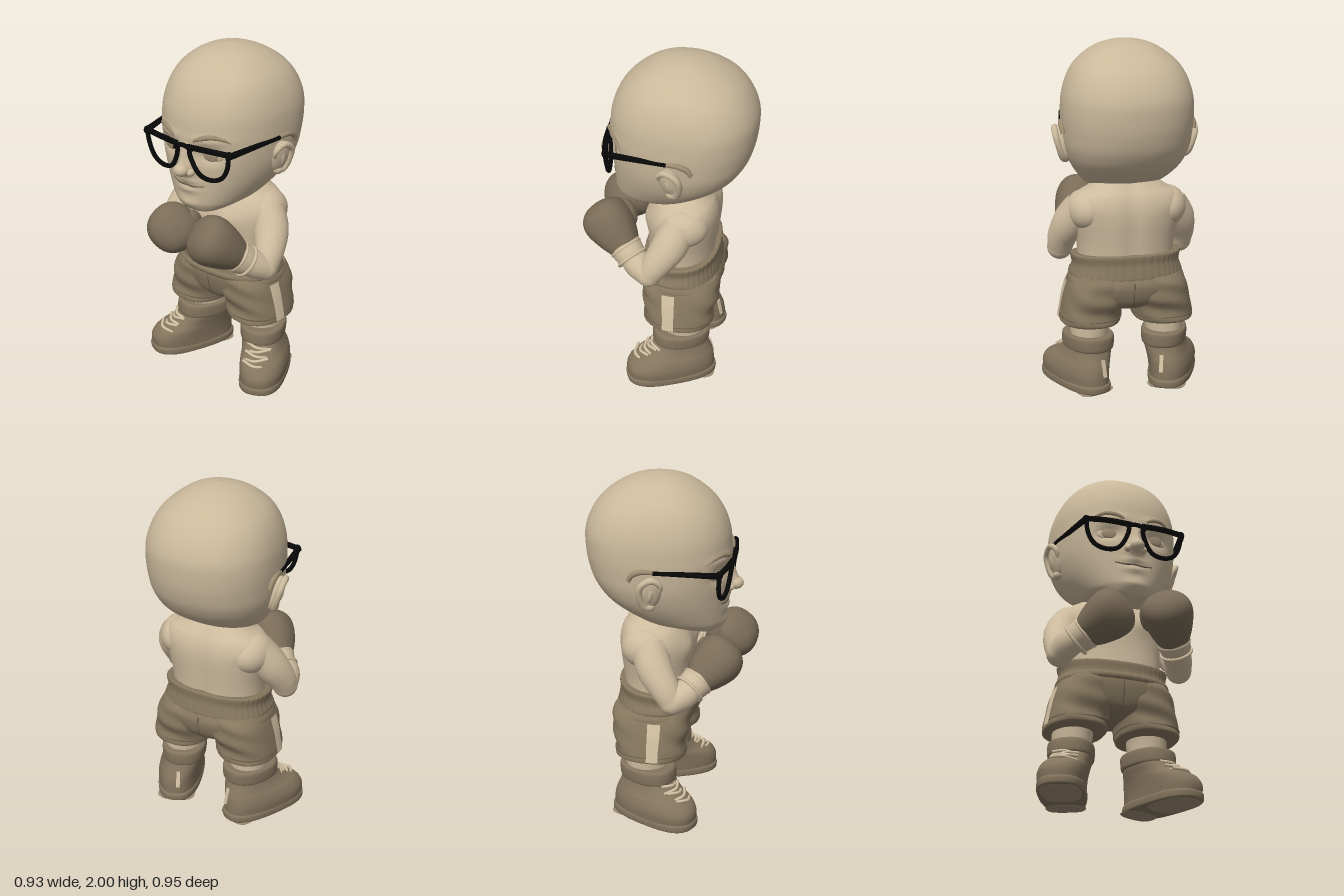
import * as THREE from 'three';

const mat = (name, color) => Object.assign(new THREE.MeshStandardMaterial({ color }), { name });

// Smooth value between rows of numbers (Catmull-Rom)
function sampleRows(rows, t) {
  const last = rows.length - 1, u = t * last, i = Math.min(Math.floor(u), last - 1), f = u - i;
  const at = k => rows[Math.max(0, Math.min(last, k))];
  const [a, b, c, d] = [at(i - 1), at(i), at(i + 1), at(i + 2)];
  return b.map((p, k) => p + 0.5 * f * (c[k] - a[k] + f * (2 * a[k] - 5 * p + 4 * c[k] - d[k] + f * (3 * (p - c[k]) + d[k] - a[k]))));
}

// Skin through horizontal rings; each row is [y, centreX, centreZ, halfWidth, frontZ, backZ]
function loft(rows, { segs = 40, steps = 30, n = 2, warp, arc } = {}) {
  const pos = [], idx = [], cols = arc ? segs + 1 : segs;
  for (let i = 0; i <= steps; i++) {
    const [y, cx, cz, rx, f, b] = sampleRows(rows, i / steps);
    for (let j = 0; j < cols; j++) {
      const a = arc ? arc[0] + (arc[1] - arc[0]) * j / segs : (j / segs) * Math.PI * 2;
      const s = Math.sin(a), c = Math.cos(a), e = 2 / n;
      const p = new THREE.Vector3(cx + Math.max(rx, 0) * Math.sign(s) * Math.abs(s) ** e, y,
        cz + (c > 0 ? f - cz : cz - b) * Math.sign(c) * Math.abs(c) ** e);
      if (warp) warp(p, a);
      pos.push(p.x, p.y, p.z);
    }
  }
  for (let i = 0; i < steps; i++) for (let j = 0; j < segs; j++) {
    const k = (j + 1) % cols, a = i * cols + j, b = i * cols + k;
    idx.push(a, b, b + cols, a, b + cols, a + cols);
  }
  if (!arc) [0, steps].forEach(i => { // end caps
    const [y, cx, cz] = sampleRows(rows, i / steps), base = pos.length / 3;
    for (let j = 0; j < segs; j++) pos.push(...pos.slice((i * cols + j) * 3, (i * cols + j) * 3 + 3));
    pos.push(cx, y, cz);
    for (let j = 0; j < segs; j++) {
      const a = base + j, b = base + (j + 1) % segs;
      idx.push(...(i ? [a, b, base + segs] : [b, a, base + segs]));
    }
  });
  const g = new THREE.BufferGeometry();
  g.setAttribute('position', new THREE.Float32BufferAttribute(pos, 3));
  g.setIndex(idx);
  g.computeVertexNormals();
  return g;
}

// Tube along points whose radius follows a list
function limb(points, radii, closed = false, segs = 32, sides = 20) {
  const curve = new THREE.CatmullRomCurve3(points.map(p => new THREE.Vector3(...p)), closed);
  const g = new THREE.TubeGeometry(curve, segs, 1, sides, closed), pos = g.attributes.position, v = new THREE.Vector3();
  const rows = radii.length > 1 ? radii.map(r => [r]) : [[radii[0]], [radii[0]]];
  for (let k = 0; k < pos.count; k++) {
    const t = Math.floor(k / (sides + 1)) / segs, c = curve.getPointAt(t);
    v.fromBufferAttribute(pos, k).sub(c).multiplyScalar(sampleRows(rows, t)[0]).add(c);
    pos.setXYZ(k, v.x, v.y, v.z);
  }
  return g;
}

export function createModel() {
  const root = new THREE.Group();
  const headSkin = mat('head skin', 0xcab89b), bodySkin = mat('body skin', 0xcebb9e), shorts = mat('shorts cloth', 0x87785f);
  const boots = mat('boot leather', 0x83745d), gloves = mat('glove leather', 0x7a6c57), black = mat('glasses black', 0x070707);
  const pale = mat('pale trim', 0xd3c1a3), brown = mat('brow brown', 0x9c8a70), dark = mat('dark seam', 0x6a5c49);
  const add = (name, g, m, parent = root) => {
    const mesh = new THREE.Mesh(g, m);
    mesh.name = name;
    parent.add(mesh);
    return mesh;
  };
  const ball = (name, m, p, r, rot = [0, 0, 0], parent = root) => {
    const b = add(name, new THREE.SphereGeometry(1, 32, 24), m, parent);
    b.position.set(...p); b.scale.set(...r); b.rotation.set(...rot);
    return b;
  };

  // Head, with the face pushed in and out by soft bumps [x, y, width, height, depth]
  const bumps = [[0, 1.39, 0.042, 0.045, 0.065], [0, 1.46, 0.03, 0.06, 0.03], [0.14, 1.48, 0.07, 0.04, -0.03],
    [-0.14, 1.48, 0.07, 0.04, -0.03], [0.14, 1.57, 0.09, 0.025, 0.012], [-0.14, 1.57, 0.09, 0.025, 0.012],
    [0, 1.315, 0.07, 0.016, 0.012], [0, 1.26, 0.06, 0.018, 0.014], [0, 1.17, 0.07, 0.03, 0.012]];
  const headGeo = loft([
    [1.11, 0, 0.22, 0.03, 0.26, 0.19], [1.125, 0, 0.19, 0.115, 0.285, 0.1], [1.16, 0, 0.1, 0.185, 0.305, -0.04],
    [1.2, 0, 0.02, 0.235, 0.315, -0.18], [1.3, 0, -0.06, 0.305, 0.32, -0.34], [1.4, 0, -0.09, 0.345, 0.325, -0.42],
    [1.5, 0, -0.1, 0.36, 0.335, -0.457], [1.6, 0, -0.11, 0.365, 0.337, -0.472], [1.7, 0, -0.11, 0.358, 0.325, -0.47],
    [1.8, 0, -0.1, 0.327, 0.285, -0.43], [1.88, 0, -0.08, 0.275, 0.22, -0.365], [1.95, 0, -0.06, 0.185, 0.125, -0.26],
    [1.985, 0, -0.06, 0.095, 0.035, -0.16], [2, 0, -0.06, 0.001, -0.059, -0.061]], {
    segs: 150, steps: 110, n: 2.2,
    warp: p => {
      if (p.z > 0.1) for (const [x, y, w, h, d] of bumps) p.z += d * Math.exp(-(((p.x - x) / w) ** 2) - ((p.y - y) / h) ** 2);
    } });
  add('head', headGeo, headSkin);
  const hp = headGeo.attributes.position;
  const onFace = (x, y, lift = 0) => {
    let best = 9, z = 0;
    for (let k = 0; k < hp.count; k++) {
      if (hp.getZ(k) < 0.1) continue;
      const d = (hp.getX(k) - x) ** 2 + (hp.getY(k) - y) ** 2;
      if (d < best) { best = d; z = hp.getZ(k); }
    }
    return [x, y, z + lift];
  };
  ball('nose tip', headSkin, [0, 1.388, 0.365], [0.042, 0.036, 0.044]);
  add('mouth line', limb([[-0.11, 1.298], [-0.05, 1.286], [0, 1.289], [0.05, 1.286], [0.11, 1.298]].map(p => onFace(...p)), [0.003, 0.006, 0.003], false, 24, 8), dark);

  // Torso with a spine groove and chest
  add('torso', loft([[0.68, 0, -0.06, 0.27, 0.14, -0.25], [0.85, 0, -0.06, 0.28, 0.13, -0.265], [1, 0, -0.07, 0.31, 0.13, -0.28],
    [1.08, 0, -0.09, 0.32, 0.115, -0.277], [1.14, 0, -0.1, 0.285, 0.09, -0.26], [1.18, 0, -0.1, 0.22, 0.06, -0.235], [1.26, 0, -0.08, 0.12, 0.03, -0.18]], {
    segs: 64, steps: 40, n: 2.25,
    warp: p => {
      if (p.z < -0.1) p.z += 0.014 * Math.exp(-((p.x / 0.04) ** 2));
      else if (p.z > 0) p.z += 0.02 * Math.exp(-(((Math.abs(p.x) - 0.12) / 0.08) ** 2) - ((p.y - 1.03) / 0.07) ** 2);
    } }), bodySkin);

  // Shorts: hips, ribbed waistband and centre seam
  add('shorts hips', loft([[0.475, 0, -0.07, 0.05, 0.04, -0.19], [0.5, 0, -0.07, 0.14, 0.1, -0.25], [0.55, 0, -0.07, 0.28, 0.13, -0.29],
    [0.63, 0, -0.07, 0.335, 0.15, -0.308], [0.69, 0, -0.07, 0.31, 0.15, -0.285]], { n: 2.6, segs: 56 }), shorts);
  add('waistband', loft([[0.66, 0, -0.06, 0.315, 0.155, -0.285], [0.68, 0, -0.06, 0.325, 0.165, -0.295], [0.73, 0, -0.06, 0.305, 0.152, -0.28],
    [0.78, 0, -0.06, 0.315, 0.155, -0.285], [0.79, 0, -0.06, 0.305, 0.145, -0.275]], {
    segs: 180, steps: 12, n: 2.4,
    warp: (p, a) => {
      const k = 1 + 0.006 * Math.sin(45 * a);
      p.x *= k; p.z *= k;
      if (p.y > 0.7) p.y -= (p.z + 0.06) * 0.1; // higher at the back
    } }), shorts);
  for (const d of [1, -1]) {
    const z = d > 0 ? 0.148 : -0.306;
    add('shorts centre seam', limb([[0, 0.5, d > 0 ? 0.1 : -0.25], [0, 0.55, d > 0 ? 0.129 : -0.289], [0, 0.63, z], [0, 0.66, z]], [0.004], false, 16, 8), dark);
  }

  // Glasses bridge
  const rim = (x, y) => [x, y, 0.35 - 0.4 * x * x - (1.53 - y) * 0.1];
  add('glasses bridge', limb([rim(-0.06, 1.5), rim(-0.03, 1.525), rim(0.03, 1.525), rim(0.06, 1.5)], [0.013], false, 16, 10), black);

  for (const s of [1, -1]) {
    const m = pts => pts.map(([x, y, z]) => [x * s, y, z]);
    const side = s > 0 ? 'left' : 'right';

    // Eye, brow and nostril
    ball(side + ' eyeball', headSkin, onFace(0.14 * s, 1.48), [0.066, 0.035, 0.014], [0, 0.25 * s, 0]);
    ball(side + ' iris', brown, onFace(0.14 * s, 1.482, 0.012), [0.044, 0.032, 0.008], [0, 0.22 * s, 0]);
    add(side + ' eyebrow', limb([[0.065, 1.565], [0.1, 1.583], [0.16, 1.598], [0.21, 1.588], [0.245, 1.565]].map(([x, y]) => onFace(x * s, y)), [0.008, 0.014, 0.014, 0.01, 0.004], false, 24, 10), brown);
    ball(side + ' nostril', headSkin, [0.042 * s, 1.377, 0.34], [0.024, 0.022, 0.026]);

    // Ear
    const ear = new THREE.Group();
    ear.name = side + ' ear';
    ear.position.set(0.35 * s, 1.425, -0.05);
    ear.rotation.set(0.15, -0.2 * s, -0.24 * s);
    root.add(ear);
    ball('ear body', headSkin, [0, 0, 0], [0.034, 0.105, 0.062], [0, 0, 0], ear);
    add('ear rim', limb(m([[0.005, 0, 0.045], [0.016, 0.065, 0.05], [0.022, 0.098, 0], [0.026, 0.05, -0.055], [0.024, -0.03, -0.045], [0.016, -0.085, -0.005], [0.005, -0.07, 0.03]]), [0.01, 0.015, 0.018, 0.018, 0.018, 0.022, 0.016], false, 40, 12), headSkin, ear);
    ball('ear lobe', headSkin, [0.01 * s, -0.08, 0.012], [0.026, 0.028, 0.03], [0, 0, 0], ear);
    ball('ear fold', headSkin, [0.02 * s, 0, 0.005], [0.02, 0.05, 0.018], [0, 0, 0], ear);

    // Glasses rim, hinge corner and arm
    const outline = [[0.045, 1.515], [0.12, 1.53], [0.2, 1.532], [0.278, 1.53], [0.274, 1.45], [0.235, 1.385], [0.17, 1.36], [0.105, 1.373], [0.062, 1.43]];
    add(side + ' glasses rim', limb(outline.map(([x, y]) => rim(x * s, y)), [0.013], true, 64, 10), black);
    add(side + ' glasses brow bar', limb([rim(0.03 * s, 1.527), rim(0.17 * s, 1.534), rim(0.295 * s, 1.534)], [0.016], false, 20, 10), black);
    ball(side + ' glasses hinge', black, [0.288 * s, 1.531, 0.316], [0.02, 0.024, 0.02]);
    add(side + ' glasses arm', limb(m([[0.292, 1.528, 0.32], [0.325, 1.536, 0.15], [0.359, 1.545, -0.03]]), [0.018, 0.015, 0.013], false, 16, 10), black);
    add(side + ' glasses arm tip', limb(m([[0.358, 1.545, -0.02], [0.37, 1.55, -0.09], [0.371, 1.53, -0.14], [0.369, 1.495, -0.162]]), [0.011, 0.014, 0.016, 0.012], false, 20, 10), brown);

    // Arm
    ball(side + ' shoulder', bodySkin, [0.235 * s, 1.05, -0.1], [0.108, 0.115, 0.14], [0, 0.2 * s, 0]);
    add(side + ' upper arm', limb(m([[0.245, 1.07, -0.08], [0.315, 0.96, -0.03], [0.35, 0.86, 0.035], [0.355, 0.79, 0.075]]), [0.1, 0.102, 0.087, 0.072]), bodySkin);
    ball(side + ' elbow', bodySkin, [0.355 * s, 0.79, 0.075], [0.073, 0.073, 0.073]);
    const wrist = s > 0 ? [0.285, 0.875, 0.2] : [0.265, 0.865, 0.18];
    const hand = s > 0 ? [0.19, 1.0, 0.332] : [0.14, 0.965, 0.29];
    add(side + ' forearm', limb(m([[0.355, 0.79, 0.075], [0.325, 0.83, 0.14], wrist]), [0.073, 0.08, 0.07]), bodySkin);

    // Glove with wrapped cuff
    const from = new THREE.Vector3(...m([wrist])[0]), to = new THREE.Vector3(...m([hand])[0]);
    const glove = new THREE.Group();
    glove.name = side + ' glove';
    glove.position.copy(to);
    glove.quaternion.setFromUnitVectors(new THREE.Vector3(0, 1, 0), to.clone().sub(from).normalize());
    root.add(glove);
    const len = from.distanceTo(to);
    const mitt = [[-len + 0.02, 0, 0, 0.08, 0.08, -0.08], [-0.1, 0, 0, 0.115, 0.115, -0.115], [0, 0, 0, 0.14, 0.14, -0.138],
      [0.07, 0, 0, 0.13, 0.125, -0.128], [0.115, 0, 0, 0.08, 0.075, -0.08], [0.132, 0, 0, 0.002, 0.002, -0.002]];
    add('mitt', loft(mitt, { n: 2.25 }), gloves, glove);
    add('cuff', loft([[-len - 0.05, 0, 0, 0.074, 0.074, -0.074], [-len - 0.02, 0, 0, 0.086, 0.086, -0.086], [-len + 0.04, 0, 0, 0.092, 0.092, -0.092], [-len + 0.055, 0, 0, 0.082, 0.082, -0.082]]), bodySkin, glove);
    for (const h of [-0.035, 0.03]) {
      const ring = add('cuff ring', new THREE.TorusGeometry(0.086, 0.01, 10, 40), bodySkin, glove);
      ring.position.y = -len + h; ring.rotation.x = Math.PI / 2;
    }
    ball(side + ' glove thumb', gloves, [hand[0] * s - 0.075 * s, hand[1] + 0.02, hand[2] - 0.085], [0.055, 0.09, 0.06], [0.35, 0, 0.2 * s]);

    // Shorts leg, hem and side stripe
    const legRows = (o = 0) => [[0.395, 0.213, -0.075, 0.166, 0.115, -0.265], [0.41, 0.213, -0.075, 0.174, 0.125, -0.275], [0.48, 0.203, -0.075, 0.171, 0.125, -0.28],
      [0.55, 0.18, -0.075, 0.18, 0.14, -0.3], [0.63, 0.165, -0.075, 0.172, 0.145, -0.302], [0.68, 0.15, -0.07, 0.16, 0.13, -0.28]]
      .map(([y, x, z, w, f, b]) => [y, x * s, z, w + o, f + o, b - o]);
    add(side + ' shorts leg', loft(legRows(), { n: 2.5, warp: (p, a) => { p.z += 0.006 * Math.sin(p.y * 50 + a * 3); } }), shorts);
    const mid = s * (Math.PI / 2 - 0.14);
    add(side + ' shorts stripe', loft(legRows(0.007).slice(1, 5), { n: 2.5, segs: 6, arc: [mid - 0.13, mid + 0.13] }), pale);
    add(side + ' hem stitch', loft([[0.43, 0.21 * s, -0.075, 0.175, 0.13, -0.281], [0.434, 0.21 * s, -0.075, 0.175, 0.13, -0.281]], { n: 2.5, steps: 1 }), dark);

    // Shin
    add(side + ' shin', loft([[0.25, 0.22 * s, -0.1, 0.105, 0.015, -0.215], [0.35, 0.22 * s, -0.1, 0.11, 0.025, -0.22], [0.46, 0.215 * s, -0.09, 0.12, 0.04, -0.22]]), bodySkin);

    // Boot, turned outward
    const boot = new THREE.Group();
    boot.name = side + ' boot';
    boot.position.set(0.244 * s, 0, -0.085);
    boot.rotation.y = 0.4 * s;
    root.add(boot);
    const dx = 0.022 * s, ax = -0.014 * s; // toe leans out, ankle leans in
    add('sole', loft([[0.004, dx, 0.1, 0.124, 0.315, -0.205], [0.012, dx, 0.1, 0.131, 0.325, -0.213], [0.04, dx, 0.1, 0.132, 0.327, -0.214], [0.052, dx, 0.1, 0.127, 0.32, -0.206]], { n: 2.6, steps: 12 }), boots, boot);
    for (const [z0, z1] of [[-0.2, -0.06], [0, 0.31]]) {
      const c = (z0 + z1) / 2;
      add('sole tread', loft([[0, dx, c, 0.105, z1 - 0.005, z0 + 0.005], [0.006, dx, c, 0.112, z1, z0]], { n: 2.8, steps: 2 }), brown, boot);
    }
    add('boot upper', loft([[0.04, dx, 0.1, 0.128, 0.32, -0.205], [0.1, dx, 0.1, 0.132, 0.322, -0.203], [0.15, dx * 0.6, 0.07, 0.128, 0.288, -0.195],
      [0.19, 0, 0.02, 0.12, 0.21, -0.18], [0.24, ax, 0, 0.118, 0.15, -0.165], [0.3, ax, -0.01, 0.12, 0.13, -0.165]], { n: 2.4 }), boots, boot);
    add('ankle cuff', loft([[0.235, ax, -0.01, 0.118, 0.142, -0.167], [0.25, ax, -0.01, 0.128, 0.156, -0.178], [0.31, ax, -0.015, 0.13, 0.152, -0.18], [0.325, ax, -0.015, 0.118, 0.135, -0.167]], { n: 2.3, steps: 16 }), boots, boot);
    add('toe seam', limb([[-0.115, 0.07, 0.17], [-0.08, 0.14, 0.225], [0, 0.158, 0.268], [0.08, 0.14, 0.225], [0.115, 0.07, 0.17]].map(([x, y, z]) => [x + dx * 0.6, y, z]), [0.006], false, 24, 8), dark, boot);
    [[0.165, 0.265], [0.18, 0.234], [0.196, 0.206], [0.212, 0.184], [0.229, 0.165]].forEach(([y, z], k) => {
      const tilt = k % 2 ? 0.012 : -0.012;
      add('lace', limb([[-0.07, y - tilt, z - 0.03], [0, y + 0.004, z + 0.006], [0.07, y + tilt, z - 0.03]], [0.009], false, 12, 8), pale, boot);
    });
    const tab = add('heel strip', new THREE.BoxGeometry(0.022, 0.1, 0.008), pale, boot);
    tab.position.set(0, 0.15, -0.197); tab.rotation.x = 0.25;
  }
  return root;
}
